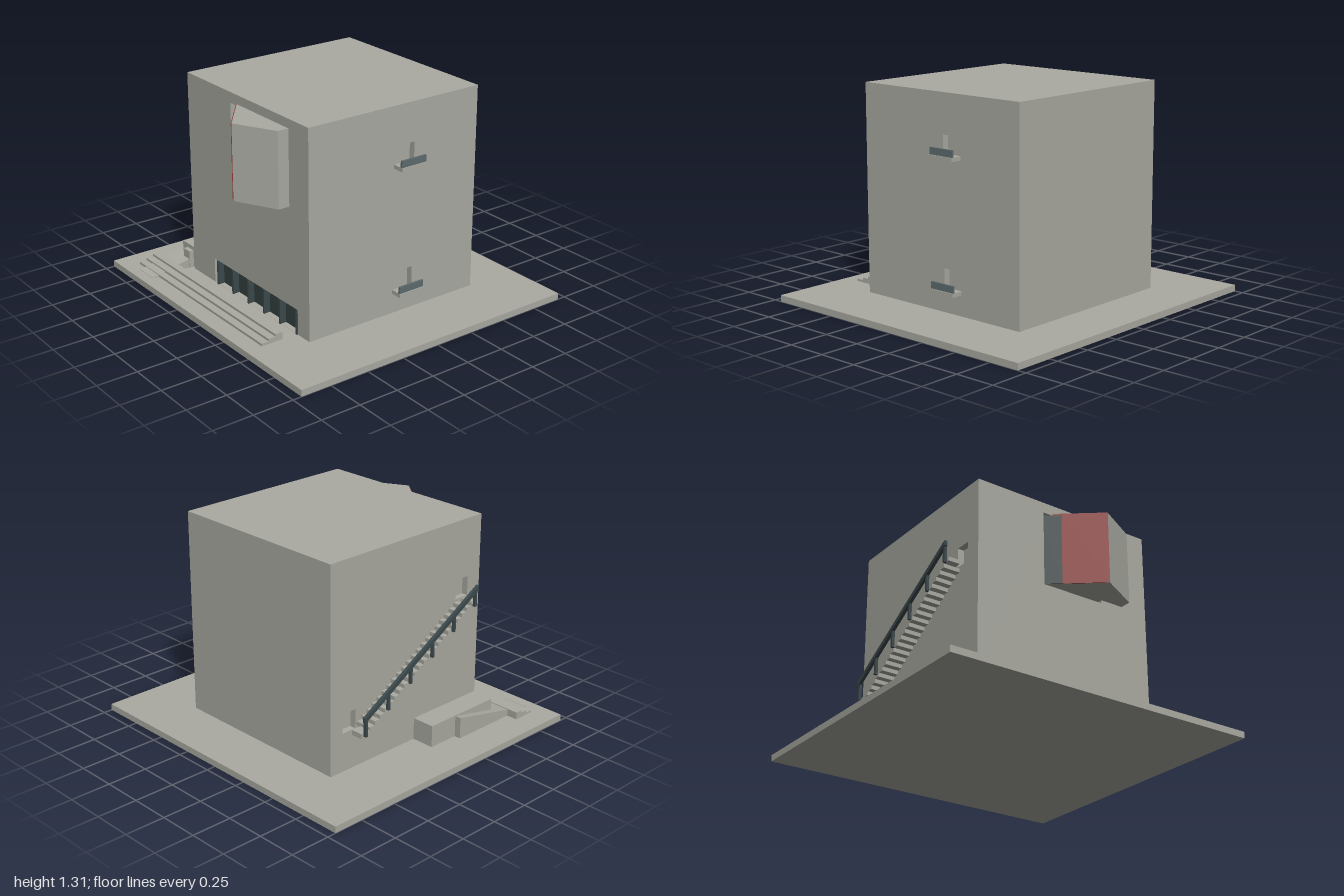
import * as THREE from 'three';

const mat = (name, color) => Object.assign(new THREE.MeshStandardMaterial({ color }), { name });

export function createModel() {
  const model = new THREE.Group();
  const concrete = mat('concrete', 0xaaaaa2);
  const glass = mat('dark glass', 0x34423f);
  const rail = mat('railing metal', 0x3c494c);
  const balconyRail = mat('balcony railing', 0x5e6b6e);
  const red = mat('red panel', 0x8f352f);

  const add = (name, geo, m = concrete) => {
    const mesh = new THREE.Mesh(geo, m);
    mesh.name = name;
    model.add(mesh);
    return mesh;
  };
  // Box given by its minimum and maximum on each axis
  const box = (name, x0, x1, y0, y1, z0, z1, m) => {
    const mesh = add(name, new THREE.BoxGeometry(x1 - x0, y1 - y0, z1 - z0), m);
    mesh.position.set((x0 + x1) / 2, (y0 + y1) / 2, (z0 + z1) / 2);
    return mesh;
  };
  const polygon = (pts) => new THREE.Shape(pts.map(([x, y]) => new THREE.Vector2(x, y)));
  const rect = (x0, x1, y0, y1) => [[x0, y0], [x1, y0], [x1, y1], [x0, y1]];
  const extrude = (shape, depth) => new THREE.ExtrudeGeometry(shape, { depth, bevelEnabled: false });
  // Wall slab with rectangular openings
  const wall = (name, x0, x1, holes, angle) => {
    const shape = polygon(rect(x0, x1, 0.04, 1.31));
    for (const h of holes) shape.holes.push(polygon(rect(...h)));
    const geo = extrude(shape, 0.04).translate(0, 0, 0.56).rotateY(angle);
    return add(name, geo);
  };
  // Upright prism over a plan of [x, z] points
  const prism = (name, plan, y0, y1, m) => {
    const geo = extrude(polygon(plan.map(([x, z]) => [x, -z])), y1 - y0).rotateX(-Math.PI / 2);
    add(name, geo.translate(0, y0, 0), m);
  };
  // Profile of [z, y] points, extruded along x
  const sideProfile = (name, pts, x0, x1, m) => {
    const geo = extrude(polygon(pts.map(([z, y]) => [-z, y])), x1 - x0).rotateY(Math.PI / 2);
    add(name, geo.translate(x0, 0, 0), m);
  };

  // Ground slab, core and outer walls
  box('groundSlab', -1, 1, 0, 0.04, -0.945, 0.945);
  box('buildingCore', -0.56, 0.56, 0.04, 1.31, -0.6, 0.56);
  wall('frontWall', -0.6, 0.6, [[-0.145, 0.27, 0.78, 1.245], [-0.365, 0.49, 0.041, 0.195]], 0);
  wall('leftWall', -0.56, 0.6, [[0.03, 0.135, 0.94, 1.07], [0.03, 0.135, 0.165, 0.30]], Math.PI / 2);
  wall('rightWall', -0.6, 0.56, [[-0.51, -0.41, 0.28, 0.4], [0.4, 0.5, 0.83, 0.95]], -Math.PI / 2);

  // Recessed glazing
  box('upperWindow', -0.145, 0.27, 0.78, 1.245, 0.558, 0.564, glass);
  box('entranceGlazing', -0.365, 0.49, 0.041, 0.195, 0.558, 0.564, glass);
  for (let i = 0; i < 6; i++) {
    const x = -0.325 + i * 0.161;
    box('entrancePost', x - 0.007, x + 0.007, 0.04, 0.195, 0.565, 0.606, rail);
  }

  // Angled bay with a red face
  prism('bay', [[-0.13, 0.56], [0.17, 0.8], [0.42, 0.67], [0.42, 0.56]], 0.8, 1.255);
  const facePlate = (name, a, b, y0, y1, m) =>
    prism(name, [a, b, [b[0] - 0.0025, b[1] + 0.003], [a[0] - 0.0025, a[1] + 0.003]], y0, y1, m);
  facePlate('bayRedFace', [-0.04, 0.632], [0.17, 0.8], 0.8, 1.255, red);
  facePlate('bayRedEdge', [-0.08, 0.6], [-0.04, 0.632], 1.245, 1.255, red);
  facePlate('bayGlassEdge', [-0.13, 0.56], [-0.04, 0.632], 0.8, 1.245, glass);

  // Front steps
  for (let i = 0; i < 3; i++) {
    box('frontStep', -0.855, 0.48, 0.04, 0.055 + i * 0.015, 0.7, 0.84 - i * 0.047);
  }

  // Access ramp and the blocks beside it
  sideProfile('ramp', [[0.27, 0.04], [0.27, 0.172], [0.88, 0.042], [0.88, 0.04]], -0.785, -0.63);
  box('rampBlock', -0.745, -0.6, 0.04, 0.175, 0.07, 0.59);
  box('rampEndBlock', -0.69, -0.625, 0.04, 0.15, 0.59, 0.62);

  // Outside staircase, rising towards the front
  const treads = 21, run = 0.82 / treads, rise = 0.52 / treads;
  for (let i = 0; i < treads; i++) {
    const z = -0.4 + i * run, y = 0.3 + i * rise;
    box('stairTread', -0.705, -0.6, y - 0.005, y + rise - 0.005, z, z + run);
  }
  box('lowerLanding', -0.705, -0.63, 0.27, 0.3, -0.465, -0.4);
  box('upperLanding', -0.705, -0.63, 0.815, 0.84, 0.42, 0.465);

  // Stair railing
  sideProfile('stairHandrail', [[-0.455, 0.37], [0.455, 0.91], [0.455, 0.94], [-0.455, 0.4]], -0.727, -0.707, rail);
  for (let i = 0; i < 6; i++) {
    const z = -0.44 + i * 0.176, y = 0.28 + i * 0.106;
    box('stairRailPost', -0.722, -0.705, y, y + 0.11, z - 0.008, z + 0.008, rail);
  }

  // Two balconies on the left wall
  for (const y of [0.165, 0.94]) {
    box('balconySlab', 0.6, 0.675, y, y + 0.024, -0.165, 0.01);
    box('balconyRailing', 0.657, 0.67, y + 0.024, y + 0.065, -0.165, 0.01, balconyRail);
  }
  return model;
}
